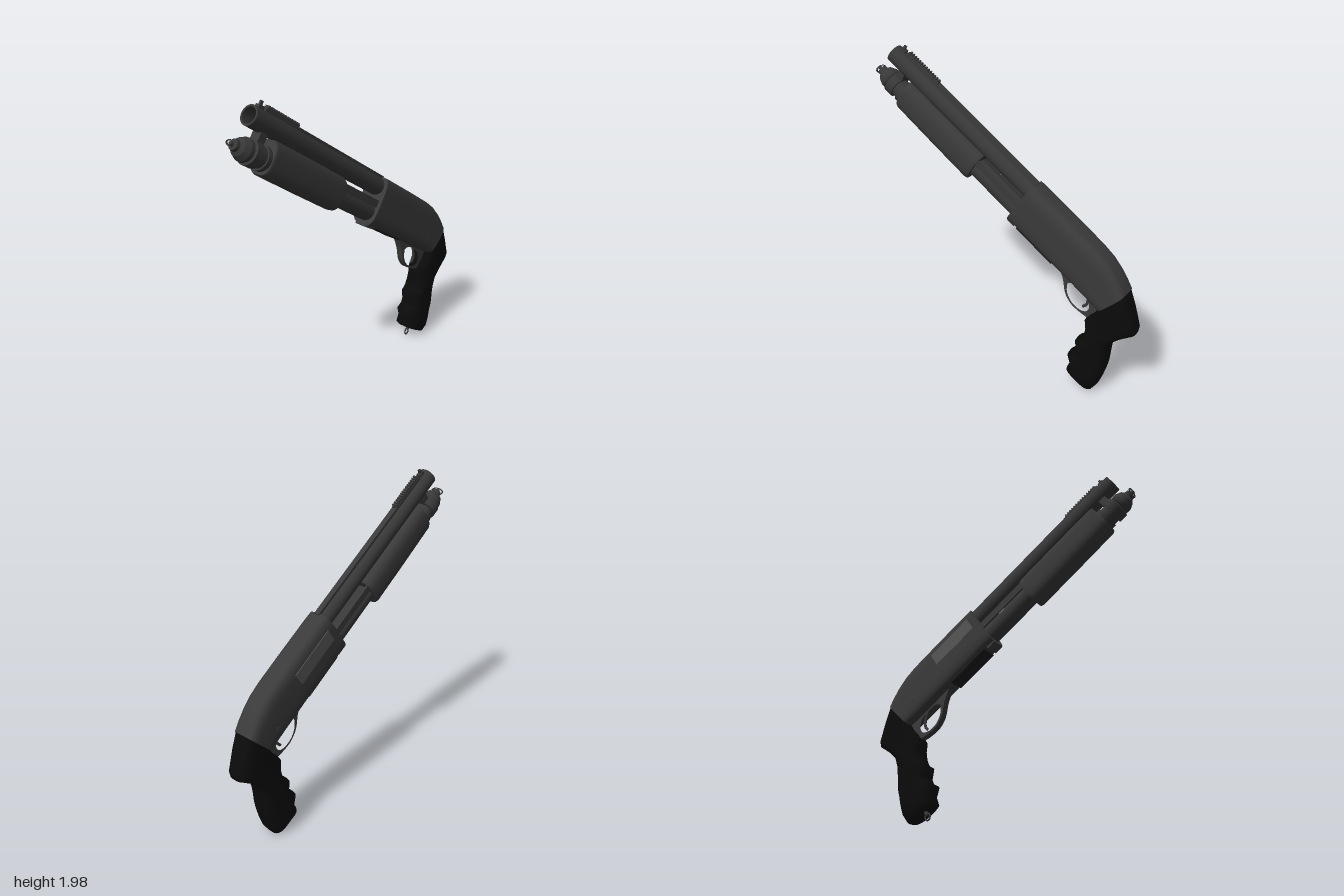
import * as THREE from 'three';

const mat = (name, color, side = THREE.FrontSide) => {
  const m = new THREE.MeshStandardMaterial({ color, side });
  m.name = name;
  return m;
};

// Closed skin through rounded sections; each station is [zA, yA, zB, yB, halfWidth].
function loft(stations, n = 4, seg = 40) {
  const pos = [], idx = [];
  const pow = (v) => Math.sign(v) * Math.abs(v) ** (2 / n);
  const ring = ([za, ya, zb, yb, w]) => {
    for (let j = 0; j < seg; j++) {
      const t = (j / seg) * Math.PI * 2, c = pow(Math.cos(t)) / 2;
      pos.push(w * pow(Math.sin(t)), (ya + yb) / 2 + c * (yb - ya), (za + zb) / 2 + c * (zb - za));
    }
  };
  stations.forEach(ring);
  for (let i = 0; i < stations.length - 1; i++) {
    for (let j = 0; j < seg; j++) {
      const a = i * seg + j, b = i * seg + ((j + 1) % seg);
      idx.push(a, b, a + seg, b, b + seg, a + seg);
    }
  }
  // flat end caps with their own vertices
  [stations[0], stations[stations.length - 1]].forEach((s, end) => {
    const base = pos.length / 3;
    ring(s);
    pos.push(0, (s[1] + s[3]) / 2, (s[0] + s[2]) / 2);
    for (let j = 0; j < seg; j++) {
      const a = base + j, b = base + ((j + 1) % seg);
      idx.push(base + seg, end ? a : b, end ? b : a);
    }
  });
  const g = new THREE.BufferGeometry();
  g.setAttribute('position', new THREE.Float32BufferAttribute(pos, 3));
  g.setIndex(idx);
  g.computeVertexNormals();
  return g;
}

// Turned part along +z from [radius, z] points; each band keeps crisp edges.
function turned(points, seg = 32) {
  const pos = [], nor = [], idx = [];
  for (let k = 0; k < points.length - 1; k++) {
    const g = new THREE.LatheGeometry([points[k], points[k + 1]].map((p) => new THREE.Vector2(...p)), seg);
    g.rotateX(Math.PI / 2);
    const base = pos.length / 3;
    pos.push(...g.attributes.position.array);
    nor.push(...g.attributes.normal.array);
    for (const i of g.index.array) idx.push(i + base);
  }
  const out = new THREE.BufferGeometry();
  out.setAttribute('position', new THREE.Float32BufferAttribute(pos, 3));
  out.setAttribute('normal', new THREE.Float32BufferAttribute(nor, 3));
  out.setIndex(idx);
  return out;
}

export function createModel() {
  const steel = mat('dark steel', 0x3a3a3a);
  const turnedSteel = mat('turned steel', 0x383838, THREE.DoubleSide);
  const bright = mat('bolt steel', 0x555555);
  const shade = mat('recess', 0x1c1c1c);
  const rubber = mat('black grip', 0x0b0b0b);

  const model = new THREE.Group();
  model.name = 'shortShotgun';
  const gun = new THREE.Group(); // tilted frame, muzzle along +z
  gun.name = 'actionAndBarrel';
  gun.rotation.x = -THREE.MathUtils.degToRad(34.3);
  model.add(gun);

  const add = (parent, name, geo, m, x = 0, y = 0, z = 0) => {
    const mesh = new THREE.Mesh(geo, m);
    mesh.name = name;
    mesh.position.set(x, y, z);
    parent.add(mesh);
    return mesh;
  };
  const box = (name, m, w, h, d, x, y, z) => add(gun, name, new THREE.BoxGeometry(w, h, d), m, x, y, z);

  // Receiver with its sloping rear
  add(gun, 'receiver', loft([
    [0.56, 0.9, 0.56, 1.214, 0.085], [0.5, 0.905, 0.5, 1.216, 0.086],
    [0.25, 0.905, 0.25, 1.216, 0.086], [0.03, 0.905, 0.04, 1.214, 0.086],
    [-0.06, 0.905, -0.05, 1.205, 0.086], [-0.12, 0.905, -0.132, 1.182, 0.086],
    [-0.165, 0.906, -0.195, 1.156, 0.086], [-0.21, 0.908, -0.254, 1.125, 0.086],
  ]), steel);
  box('receiverLip', steel, 0.09, 0.03, 0.06, 0, 0.907, 0.53);
  box('ejectionPort', bright, 0.009, 0.09, 0.33, -0.0835, 1.105, 0.345);
  box('loadingPort', shade, 0.108, 0.008, 0.3, 0, 0.904, 0.33);
  const pin = add(gun, 'triggerPin', new THREE.CylinderGeometry(0.012, 0.012, 0.178, 16), steel, 0, 1.0, -0.1);
  pin.rotation.z = Math.PI / 2;

  // Barrel, rib and sights
  add(gun, 'barrel', turned([[0.057, 0.5], [0.057, 1.747], [0.046, 1.747], [0.046, 1.5]]), turnedSteel, 0, 1.15, 0);
  add(gun, 'bore', new THREE.CircleGeometry(0.047, 32), shade, 0, 1.15, 1.5);
  box('barrelRib', steel, 0.036, 0.03, 1.12, 0, 1.206, 1.11);
  box('sightRamp', steel, 0.03, 0.016, 0.26, 0, 1.224, 1.53);
  for (let i = 0; i < 14; i++) {
    box('rampTooth', steel, 0.03, 0.01, 0.009, 0, 1.235, 1.41 + i * 0.0185);
  }
  box('frontSightBase', steel, 0.03, 0.024, 0.04, 0, 1.21, 1.7);
  box('frontSight', steel, 0.014, 0.04, 0.016, 0, 1.225, 1.703);

  // Magazine tube with stepped cap
  add(gun, 'magazineTube', turned([
    [0.061, 0.5], [0.061, 1.61], [0.073, 1.61], [0.073, 1.665], [0.06, 1.67], [0.066, 1.68],
    [0.066, 1.7], [0.05, 1.735], [0.032, 1.75], [0.03, 1.77], [0.012, 1.775], [0.01, 1.792], [0, 1.794],
  ].map(([r, z]) => [r, z])), turnedSteel, 0, 0.985, 0);
  add(gun, 'magazineCollar', turned([[0, 1.54], [0.07, 1.54], [0.07, 1.575], [0.06, 1.575]]), turnedSteel, 0, 0.985, 0);
  box('barrelClamp', steel, 0.06, 0.1, 0.05, 0, 1.06, 1.63);

  // Sliding fore-end and its action bars
  add(gun, 'foreEnd', loft([
    [1.547, 0.902, 1.547, 1.095, 0.076], [1.53, 0.895, 1.53, 1.1, 0.082],
    [1.2, 0.89, 1.2, 1.1, 0.083], [0.93, 0.888, 0.93, 1.098, 0.083], [0.91, 0.892, 0.91, 1.09, 0.078],
  ], 2.8), steel);
  for (const s of [-1, 1]) box('actionBar', steel, 0.012, 0.045, 0.45, s * 0.056, 1.045, 0.72);

  // Pistol grip with finger grooves, front edge to back edge
  add(model, 'grip', loft([
    [-0.685, 0.632, -0.844, 0.786, 0.087], [-0.664, 0.6, -0.881, 0.69, 0.087],
    [-0.62, 0.558, -0.923, 0.558, 0.085], [-0.59, 0.516, -0.918, 0.526, 0.081],
    [-0.6, 0.463, -0.844, 0.479, 0.084], [-0.595, 0.41, -0.78, 0.426, 0.086],
    [-0.574, 0.368, -0.759, 0.362, 0.086], [-0.537, 0.347, -0.754, 0.304, 0.086],
    [-0.548, 0.283, -0.749, 0.251, 0.086], [-0.532, 0.246, -0.743, 0.209, 0.086],
    [-0.49, 0.225, -0.733, 0.167, 0.087], [-0.51, 0.167, -0.717, 0.114, 0.088],
    [-0.49, 0.119, -0.696, 0.056, 0.089], [-0.5, 0.103, -0.664, 0.008, 0.07],
  ], 3), rubber);

  // Trigger guard: side outline with a finger opening
  const v2 = (list) => list.map((p) => new THREE.Vector2(...p));
  const guard = new THREE.Shape();
  guard.moveTo(-0.39, 0.84);
  guard.splineThru(v2([[-0.426, 0.75], [-0.447, 0.653], [-0.489, 0.59], [-0.548, 0.553], [-0.6, 0.532]]));
  guard.lineTo(-0.64, 0.57);
  guard.lineTo(-0.7, 0.66);
  const hole = new THREE.Path();
  hole.moveTo(-0.46, 0.73);
  hole.splineThru(v2([[-0.458, 0.67], [-0.487, 0.61], [-0.54, 0.573], [-0.59, 0.572], [-0.612, 0.61], [-0.6, 0.66]]));
  hole.splineThru(v2([[-0.56, 0.7], [-0.5, 0.735], [-0.46, 0.73]]));
  guard.holes.push(hole);
  const guardGeo = new THREE.ExtrudeGeometry(guard, { depth: 0.044, bevelEnabled: false, curveSegments: 24 });
  guardGeo.translate(0, 0, -0.022);
  guardGeo.rotateY(-Math.PI / 2);
  add(model, 'triggerGuard', guardGeo, steel);

  // Trigger
  const triggerPath = new THREE.CatmullRomCurve3(
    [[-0.57, 0.72], [-0.59, 0.65], [-0.585, 0.61], [-0.56, 0.585]].map(([z, y]) => new THREE.Vector3(0, y, z)));
  add(model, 'trigger', new THREE.TubeGeometry(triggerPath, 16, 0.009, 10), steel);

  // Sling loops at the cap and under the grip
  const frontLoop = add(model, 'frontSlingLoop', new THREE.TorusGeometry(0.04, 0.005, 8, 32), steel, 0, 1.815, 0.914);
  frontLoop.scale.y = 0.5;
  const stud = add(model, 'gripStud', new THREE.CylinderGeometry(0.011, 0.011, 0.06, 12), steel, 0, 0.075, -0.56);
  stud.rotation.x = -0.5;
  const rearLoop = add(model, 'rearSlingLoop', new THREE.TorusGeometry(0.018, 0.005, 8, 24), steel, 0, 0.04, -0.54);
  rearLoop.rotation.y = Math.PI / 2;
  rearLoop.scale.y = 1.2;

  return model;
}
